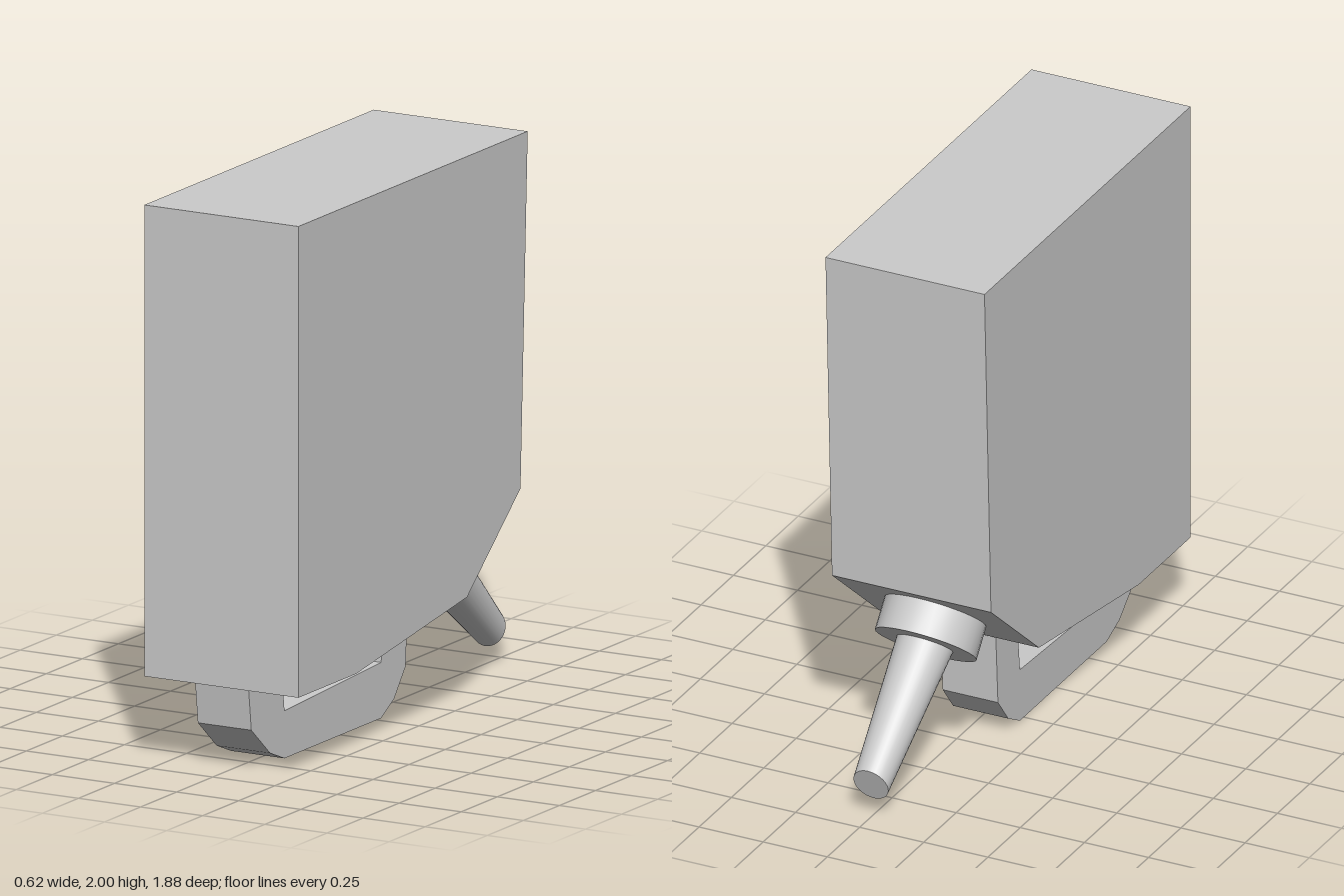
import * as THREE from 'three';
import { toCreasedNormals } from 'three/addons/utils/BufferGeometryUtils.js';

const material = new THREE.MeshStandardMaterial({ color: 0xcccccc });

function addMesh(group, name, geometry) {
  const mesh = new THREE.Mesh(geometry, material);
  mesh.name = name;
  group.add(mesh);
}

// Side profile given as [z, y] points, extruded across x from x0 to x1.
function slab(points, x0, x1) {
  const shape = new THREE.Shape(points.map(([z, y]) => new THREE.Vector2(-z, y)));
  const geometry = new THREE.ExtrudeGeometry(shape, { depth: x1 - x0, bevelEnabled: false });
  return geometry.rotateY(Math.PI / 2).translate(x0, 0, 0);
}

// Round solid between two discs, each with its own centre, radius and tilt.
// The tilt is the disc's upward facing angle above +z in the side plane.
function loft(top, bottom) {
  const geometry = new THREE.CylinderGeometry(1, 1, 2, 32, 1);
  const p = geometry.attributes.position;
  for (let i = 0; i < p.count; i++) {
    const end = p.getY(i) > 0 ? top : bottom;
    const v = p.getZ(i) * end.radius;
    p.setXYZ(i, p.getX(i) * end.radius,
      end.y - Math.sin(Math.PI / 2 - end.tilt) * v,
      end.z + Math.sin(end.tilt) * v);
  }
  return toCreasedNormals(geometry, 0.6);
}

export function createModel() {
  const group = new THREE.Group();

  // Tall tank with a sloping underside and a chamfered rear corner
  addMesh(group, 'tank', slab([
    [0.94, 2], [0.94, 0.31], [0.54, 0.31], [-0.23, 0.42], [-0.6, 0.73], [-0.65, 2],
  ], -0.31, 0.31));

  // Loop handle under the tank, slightly off centre, ends sunk into the tank
  addMesh(group, 'handle', slab([
    [0.89, 0.33], [0.89, 0.31], [0.87, 0.15], [0.74, 0.04], [0.64, 0], [-0.03, 0],
    [-0.12, 0.05], [-0.2, 0.15], [-0.217, 0.43], [-0.055, 0.43],
    [-0.03, 0.2], [0.64, 0.17], [0.66, 0.33],
  ], -0.135, 0.08));

  // Collar flush against the chamfer
  const faceTilt = Math.atan2(0.37, 0.31);
  addMesh(group, 'collar', loft(
    { z: -0.41, y: 0.582, radius: 0.185, tilt: faceTilt },
    { z: -0.49, y: 0.48, radius: 0.185, tilt: faceTilt },
  ));

  // Tapered spout with an obliquely cut tip
  addMesh(group, 'spout', loft(
    { z: -0.488, y: 0.493, radius: 0.103, tilt: faceTilt },
    { z: -0.913, y: 0.127, radius: 0.067, tilt: Math.atan2(0.045, 0.125) },
  ));

  return group;
}
